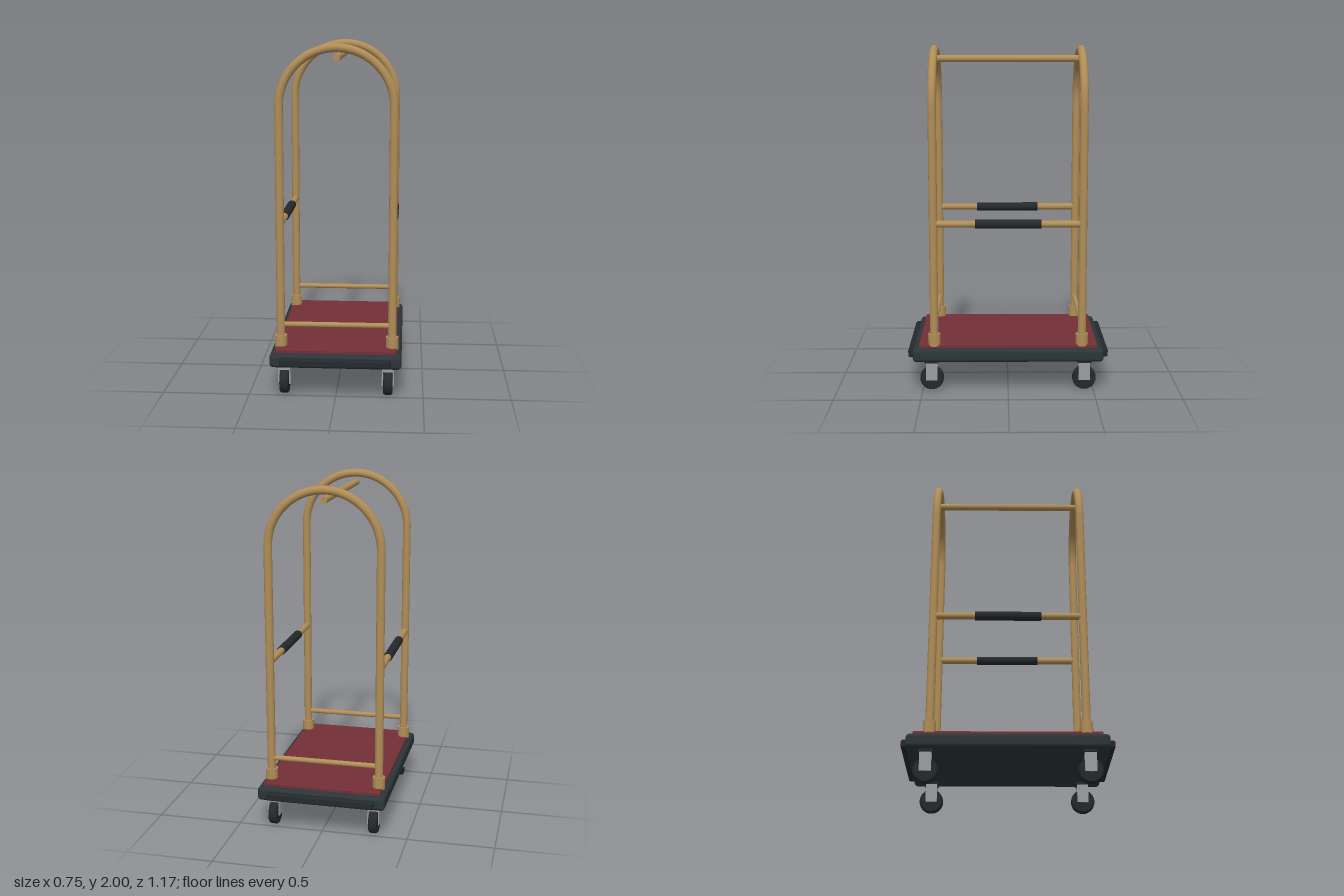
import * as THREE from 'three';
import { RoundedBoxGeometry } from 'three/addons/geometries/RoundedBoxGeometry.js';

const paint = (color) => new THREE.MeshStandardMaterial({ color });

export function createModel() {
  const cart = new THREE.Group();
  cart.name = 'luggageCart';
  const brass = paint(0xb08d57);
  const rubber = paint(0x23292c);
  const deckPaint = paint(0x2b3538);
  const carpetRed = paint(0x722f37);
  const steel = paint(0x999da0);

  function add(parent, name, geometry, material, x = 0, y = 0, z = 0) {
    const mesh = new THREE.Mesh(geometry, material);
    mesh.name = name;
    mesh.position.set(x, y, z);
    parent.add(mesh);
    return mesh;
  }
  const rodX = (r, len) => new THREE.CylinderGeometry(r, r, len, 24).rotateZ(Math.PI / 2);
  const rodZ = (r, len) => new THREE.CylinderGeometry(r, r, len, 24).rotateX(Math.PI / 2);

  const postX = 0.32, postZ = 0.43, springY = 1.656, tubeR = 0.024;

  // Platform with carpet and end bumpers
  add(cart, 'deck', new RoundedBoxGeometry(0.75, 0.08, 1.11, 4, 0.022), deckPaint, 0, 0.22, 0);
  add(cart, 'carpet', new RoundedBoxGeometry(0.69, 0.03, 1.04, 2, 0.006), carpetRed, 0, 0.265, 0);
  for (const s of [-1, 1]) {
    add(cart, 'endBumper', new RoundedBoxGeometry(0.63, 0.046, 0.05, 3, 0.01), rubber, 0, 0.219, s * 0.56);
  }

  // Hoop: two posts joined by a half-circle arch
  const hoopPath = new THREE.CurvePath();
  const arch = new THREE.Curve();
  arch.getPoint = (t, out = new THREE.Vector3()) =>
    out.set(-postX * Math.cos(Math.PI * t), springY + postX * Math.sin(Math.PI * t), 0);
  hoopPath.add(new THREE.LineCurve3(new THREE.Vector3(-postX, 0.27, 0), new THREE.Vector3(-postX, springY, 0)));
  hoopPath.add(arch);
  hoopPath.add(new THREE.LineCurve3(new THREE.Vector3(postX, springY, 0), new THREE.Vector3(postX, 0.27, 0)));
  const hoopGeometry = new THREE.TubeGeometry(hoopPath, 160, tubeR, 20);

  for (const s of [-1, 1]) {
    const end = new THREE.Group();
    end.name = 'endFrame';
    end.position.z = s * postZ;
    cart.add(end);
    add(end, 'hoop', hoopGeometry, brass);
    add(end, 'lowerCrossbar', rodX(0.015, 2 * postX), brass, 0, 0.405, 0);
    for (const side of [-1, 1]) {
      add(end, 'postSocket', new THREE.CylinderGeometry(0.036, 0.036, 0.07, 28), brass, side * postX, 0.306, 0);
    }
  }

  // Hanging rail between the arches
  add(cart, 'hangingRail', rodZ(0.02, 2 * postZ), brass, 0, 1.92, 0);

  // Side rails with push grips
  for (const s of [-1, 1]) {
    add(cart, 'sideRail', rodZ(0.02, 2 * postZ), brass, s * postX, 0.988, 0);
    add(cart, 'grip', rodZ(0.026, 0.38), rubber, s * postX, 0.988, 0);
  }

  // Casters
  const tread = [[0, -0.026], [0.06, -0.026], [0.067, -0.021], [0.069, -0.012],
    [0.069, 0.012], [0.067, 0.021], [0.06, 0.026], [0, 0.026]].map(([r, h]) => new THREE.Vector2(r, h));
  const wheelGeometry = new THREE.LatheGeometry(tread, 32).rotateZ(Math.PI / 2);
  for (const x of [-0.298, 0.298]) {
    for (const z of [-0.447, 0.447]) {
      const caster = new THREE.Group();
      caster.name = 'caster';
      caster.position.set(x, 0, z);
      cart.add(caster);
      add(caster, 'wheel', wheelGeometry, rubber, 0, 0.069, 0);
      add(caster, 'axle', rodX(0.01, 0.07), steel, 0, 0.069, 0);
      add(caster, 'mountPlate', new THREE.BoxGeometry(0.08, 0.016, 0.08), rubber, 0, 0.174, 0);
      add(caster, 'forkCrown', new THREE.BoxGeometry(0.07, 0.022, 0.066), steel, 0, 0.155, 0);
      for (const s of [-1, 1]) {
        add(caster, 'forkLeg', new THREE.BoxGeometry(0.007, 0.105, 0.066), steel, s * 0.0315, 0.1125, 0);
      }
    }
  }
  return cart;
}
